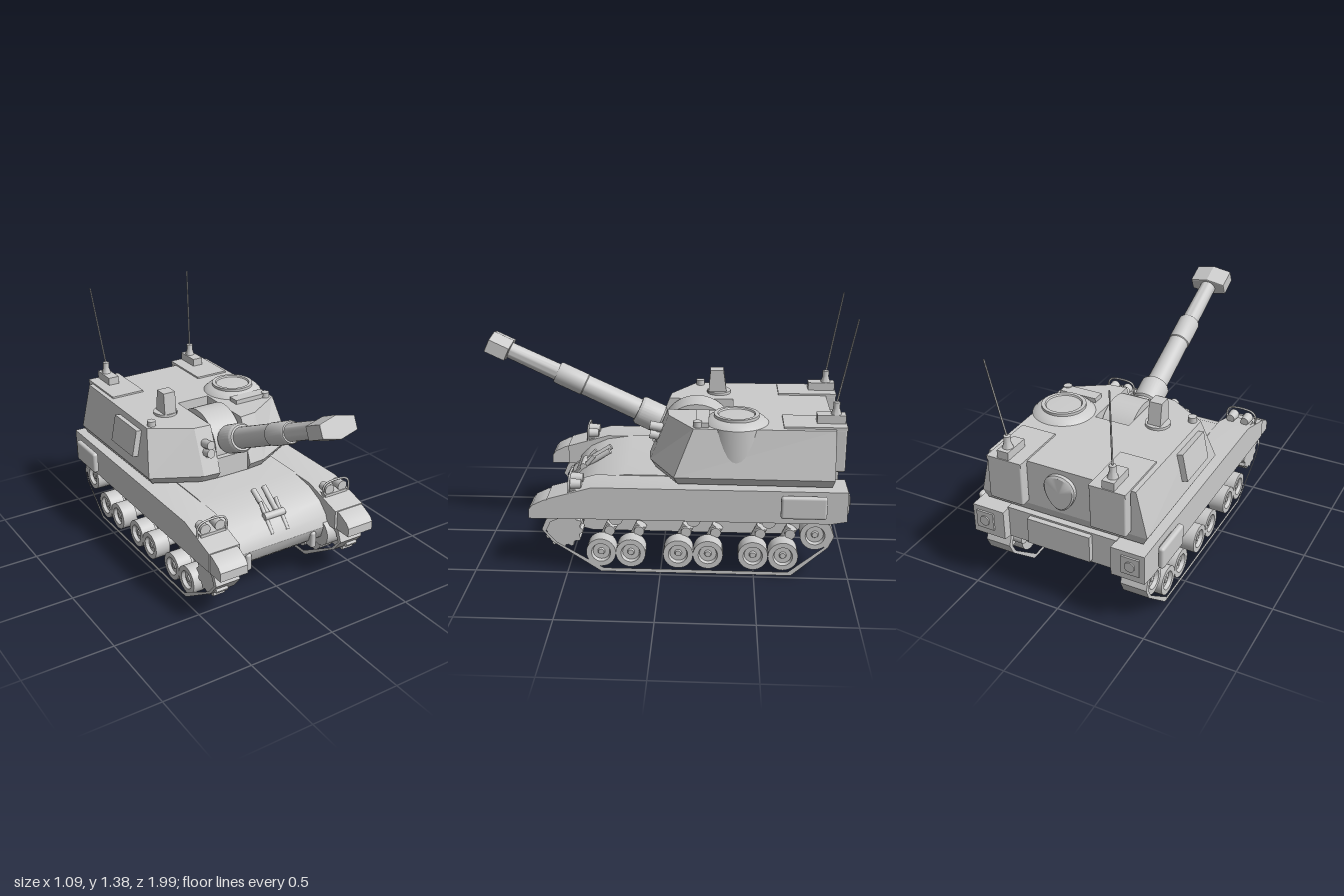
import * as THREE from 'three';
import { toCreasedNormals } from 'three/addons/utils/BufferGeometryUtils.js';
import { RoundedBoxGeometry } from 'three/addons/geometries/RoundedBoxGeometry.js';

const V = (x, y, z) => new THREE.Vector3(x, y, z);
const UP = V(0, 1, 0);

export function createModel() {
  const root = new THREE.Group();
  root.name = 'selfPropelledGun';
  const mat = new THREE.MeshStandardMaterial({ color: 0xcccccc });

  const add = (name, geo, x = 0, y = 0, z = 0, parent = root) => {
    const m = new THREE.Mesh(geo, mat);
    m.name = name;
    m.position.set(x, y, z);
    parent.add(m);
    return m;
  };
  const box = (name, w, h, d, x, y, z, parent) => add(name, new THREE.BoxGeometry(w, h, d), x, y, z, parent);
  // tapered rod between two points
  const rod = (name, a, b, r0, r1 = r0, sides = 24) => {
    const m = add(name, new THREE.CylinderGeometry(r1, r0, a.distanceTo(b), sides));
    m.position.copy(a).lerp(b, 0.5);
    m.quaternion.setFromUnitVectors(UP, b.clone().sub(a).normalize());
    return m;
  };
  // side profile of [z, y] points, extruded from x0 to x1
  const profile = (name, pts, x0, x1, hole) => {
    const s = new THREE.Shape(pts.map(p => new THREE.Vector2(...p)));
    if (hole) s.holes.push(new THREE.Path(hole.map(p => new THREE.Vector2(...p))));
    const g = new THREE.ExtrudeGeometry(s, { depth: Math.abs(x1 - x0), bevelEnabled: false });
    g.rotateY(-Math.PI / 2).translate(Math.max(x0, x1), 0, 0);
    return add(name, toCreasedNormals(g, 0.6));
  };
  const lathe = (pts, n = 32) =>
    toCreasedNormals(new THREE.LatheGeometry(pts.map(p => new THREE.Vector2(...p)), n), 0.6);
  // stacked outlines of equal point count, joined by walls and capped
  const loft = (outlines, ys) => {
    const pos = [], n = outlines[0].length;
    const put = (k, i) => pos.push(outlines[k][i][0], ys[k], outlines[k][i][1]);
    for (let k = 0; k + 1 < ys.length; k++) for (let i = 0; i < n; i++) {
      const j = (i + 1) % n;
      put(k, i); put(k, j); put(k + 1, j);
      put(k, i); put(k + 1, j); put(k + 1, i);
    }
    for (const k of [0, ys.length - 1]) {
      const flat = outlines[k].map(p => new THREE.Vector2(p[0], -p[1]));
      for (const t of THREE.ShapeUtils.triangulateShape(flat, []))
        (k ? t : [...t].reverse()).forEach(i => put(k, i));
    }
    const g = new THREE.BufferGeometry();
    g.setAttribute('position', new THREE.Float32BufferAttribute(pos, 3));
    g.computeVertexNormals();
    return g;
  };
  const bothSides = fn => [1, -1].forEach(fn);

  // Hull with rounded nose
  profile('hull', [[0.2, 0.5], [0.36, 0.475], [0.46, 0.43], [0.52, 0.37], [0.54, 0.31], [0.52, 0.24],
    [0.46, 0.19], [0.38, 0.17], [-0.7, 0.17], [-0.93, 0.32], [-0.93, 0.5]].reverse(), -0.315, 0.315);
  box('rearDoor', 0.36, 0.15, 0.05, 0, 0.415, -0.935);

  // Running gear shapes
  const trackLine = [[0.32, 0], [0.58, 0.17], [0.635, 0.24], [0.61, 0.3], [0.54, 0.335], [-0.82, 0.335],
    [-0.895, 0.3], [-0.92, 0.235], [-0.89, 0.17], [-0.7, 0]].reverse();
  const trackInner = trackLine.map(([z, y]) => [-0.14 + (z + 0.14) * 0.97, 0.17 + (y - 0.17) * 0.88]);
  const wheelGeo = lathe([[0, -0.045], [0.08, -0.045], [0.08, 0.045], [0.052, 0.045], [0.045, 0.025],
    [0.02, 0.025], [0.015, 0.035], [0, 0.035]]);
  const teeth = [];
  for (let i = 0; i < 48; i++) {
    const a = i / 48 * Math.PI * 2, r = i % 4 < 2 ? 0.105 : 0.09;
    teeth.push([0.52 + r * Math.cos(a), 0.235 + r * Math.sin(a)]);
  }

  bothSides(s => {
    // Sponson and front mudguard
    profile('sponson', [[0.36, 0.495], [0.6, 0.425], [0.6, 0.315], [-0.9, 0.315], [-0.98, 0.33],
      [-0.98, 0.495]].reverse(), s * 0.31, s * 0.495);
    profile('mudguard', [[0.55, 0.43], [0.62, 0.415], [0.68, 0.385], [0.7, 0.36], [0.7, 0.31],
      [0.55, 0.31]].reverse(), s * 0.325, s * 0.49);
    box('rearCornerBox', 0.1, 0.1, 0.02, s * 0.42, 0.42, -0.98);
    rod('tailLight', V(s * 0.42, 0.42, -0.98), V(s * 0.42, 0.42, -0.997), 0.028);
    add('sideStowage', new RoundedBoxGeometry(0.035, 0.125, 0.24, 3, 0.015), s * 0.527, 0.42, -0.75);
    box('stowageMount', 0.03, 0.06, 0.14, s * 0.5, 0.42, -0.75);

    // Track, wheels and suspension
    profile('track', trackLine, s * 0.33, s * 0.475, trackInner);
    profile('driveSprocket', teeth, s * 0.39, s * 0.46);
    rod('finalDrive', V(s * 0.28, 0.26, 0.5), V(s * 0.4, 0.26, 0.5), 0.08);
    const wheel = (name, y, z) => {
      add(name, wheelGeo, s * 0.425, y, z).rotation.z = -s * Math.PI / 2;
      rod('axle', V(s * 0.3, y, z), V(s * 0.4, y, z), 0.035);
    };
    for (const z of [0.32, 0.16, -0.095, -0.255, -0.495, -0.655]) {
      wheel('roadWheel', 0.108, z);
      rod('shockAbsorber', V(s * 0.345, 0.12, z), V(s * 0.345, 0.225, z - 0.05), 0.032);
      rod('swingArm', V(s * 0.31, 0.2, z - 0.04), V(s * 0.39, 0.2, z - 0.04), 0.028);
    }
    wheel('idlerWheel', 0.235, -0.82);
    for (const z of [0.24, -0.175, -0.575])
      rod('returnRoller', V(s * 0.3, 0.3, z), V(s * 0.45, 0.3, z), 0.038);

    // Headlights under a bent tube guard
    for (const x of [0.357, 0.445]) {
      rod('headlight', V(s * x, 0.495, 0.42), V(s * x, 0.495, 0.485), 0.024, 0.03);
    }
    box('lightShelf', 0.15, 0.025, 0.08, s * 0.4, 0.46, 0.45);
    const guard = new THREE.CatmullRomCurve3([V(0.315, 0.45, 0.48), V(0.315, 0.51, 0.48), V(0.335, 0.537, 0.48),
      V(0.465, 0.537, 0.48), V(0.49, 0.51, 0.48), V(0.49, 0.45, 0.48)].map(p => V(p.x * s, p.y, p.z)));
    add('lightGuard', new THREE.TubeGeometry(guard, 32, 0.006, 8));
    add('towHook', new RoundedBoxGeometry(0.035, 0.1, 0.06, 3, 0.014), s * 0.213, 0.25, 0.52);

    // Travel lock legs and upper jaws
    rod('travelLockLeg', V(s * 0.05, 0.36, 0.52), V(s * 0.05, 0.5, 0.4), 0.011);
    rod('travelLockJaw', V(s * 0.03, 0.44, 0.45), V(s * 0.035, 0.53, 0.31), 0.016);
  });
  rod('travelLockPin', V(-0.065, 0.44, 0.46), V(0.065, 0.44, 0.46), 0.02);

  // Turret shell with a slot for the gun cradle
  const outline = half => [...half, ...half.map(([x, z]) => [-x, z]).reverse()].reverse();
  const rings = [
    outline([[0.1, -0.38], [0.1, 0.05], [0.2, 0.04], [0.44, -0.09], [0.45, -0.9]]),
    outline([[0.1, -0.38], [0.1, 0.08], [0.2, 0.07], [0.47, -0.07], [0.475, -0.91]]),
    outline([[0.1, -0.38], [0.1, -0.02], [0.2, -0.03], [0.42, -0.17], [0.415, -0.91]]),
  ];
  // outlines must run counter-clockwise seen from above
  const flat = rings[0].map(p => new THREE.Vector2(p[0], -p[1]));
  if (THREE.ShapeUtils.isClockWise(flat)) rings.forEach(r => r.reverse());
  add('turret', loft(rings, [0.505, 0.55, 0.805]));
  box('cradleFloor', 0.2, 0.12, 0.42, 0, 0.565, -0.16);
  rod('gunCradle', V(-0.088, 0.63, -0.18), V(0.088, 0.63, -0.18), 0.2, 0.2, 48);

  // Gun built along its own raised axis
  const gun = new THREE.Group();
  gun.name = 'gun';
  gun.position.set(0, 0.7, 0);
  gun.rotation.x = Math.PI / 2 - 0.437;
  root.add(gun);
  add('barrel', lathe([[0, -0.08], [0.07, -0.08], [0.07, 0.02], [0.082, 0.03], [0.082, 0.15], [0.072, 0.165],
    [0.06, 0.165], [0.058, 0.49], [0.062, 0.495], [0.062, 0.65], [0.056, 0.66], [0.048, 0.66],
    [0.045, 0.97], [0, 0.97]]), 0, 0, 0, gun);
  const brake = new THREE.Shape([[-0.1, -0.032], [0, -0.055], [0.1, -0.032], [0.1, 0.032], [0, 0.055],
    [-0.1, 0.032]].map(p => new THREE.Vector2(...p)));
  add('muzzleBrake', new THREE.ExtrudeGeometry(brake, { depth: 0.105, bevelEnabled: true, bevelThickness: 0.008,
    bevelSize: 0.005, bevelSegments: 2 }).rotateX(-Math.PI / 2), 0, 0.955, 0, gun);

  // Commander's cupola on the left
  const cx = 0.283, cz = -0.395;
  add('cupola', lathe([[0, 0.56], [0.17, 0.56], [0.17, 0.805], [0.15, 0.825], [0.12, 0.835], [0.12, 0.85],
    [0.1, 0.85], [0.095, 0.842], [0, 0.845]], 48), cx, 0, cz);
  box('cupolaPeriscope', 0.22, 0.03, 0.07, cx, 0.815, cz + 0.18);

  // Roof sight on the right
  rod('sightBase', V(-0.23, 0.8, -0.3), V(-0.23, 0.82, -0.3), 0.068);
  profile('sightHead', [[-0.24, 0.81], [-0.25, 0.945], [-0.325, 0.945], [-0.345, 0.81]].reverse(), -0.265, -0.192);
  box('sidePanel', 0.04, 0.155, 0.26, -0.455, 0.7, -0.35).rotation.z = -0.2;

  bothSides(s => {
    // Smoke launchers
    box('launcherBracket', 0.02, 0.15, 0.05, s * 0.155, 0.66, 0.015);
    for (const y of [0.68, 0.73])
      rod('smokeLauncher', V(s * 0.155, y - 0.02, -0.03), V(s * 0.155, y, 0.075), 0.025);
    rod('roofPost', V(s * 0.38, 0.79, -0.19), V(s * 0.38, 0.835, -0.19), 0.024);

    // Roof plates, bustle boxes and antennas
    box('roofPlate', 0.2, 0.02, 0.33, s * 0.29, 0.805, -0.805);
    add('bustleBox', new RoundedBoxGeometry(0.2, 0.235, 0.06, 2, 0.01), s * 0.29, 0.685, -0.938);
    box('antennaBox', 0.065, 0.05, 0.15, s * 0.295, 0.835, -0.89);
    add('antennaBase', lathe([[0, 0], [0.03, 0], [0.018, 0.035], [0.018, 0.07], [0, 0.075]], 20),
      s * 0.295, 0.855, -0.915);
    rod('antenna', V(s * 0.295, 0.92, -0.915), V(s * 0.332, 1.375, -0.998), 0.005, 0.004, 8);
  });

  // Egg-shaped bustle hatch
  const hatch = lathe([[0, -0.015], [0.1, -0.015], [0.1, 0.015], [0.09, 0.022], [0, 0.022]], 40);
  hatch.rotateX(-Math.PI / 2);
  const p = hatch.attributes.position;
  for (let i = 0; i < p.count; i++) p.setX(i, p.getX(i) * (0.85 + 2 * p.getY(i)));
  add('bustleHatch', toCreasedNormals(hatch, 0.6), 0, 0.68, -0.915);

  return root;
}
